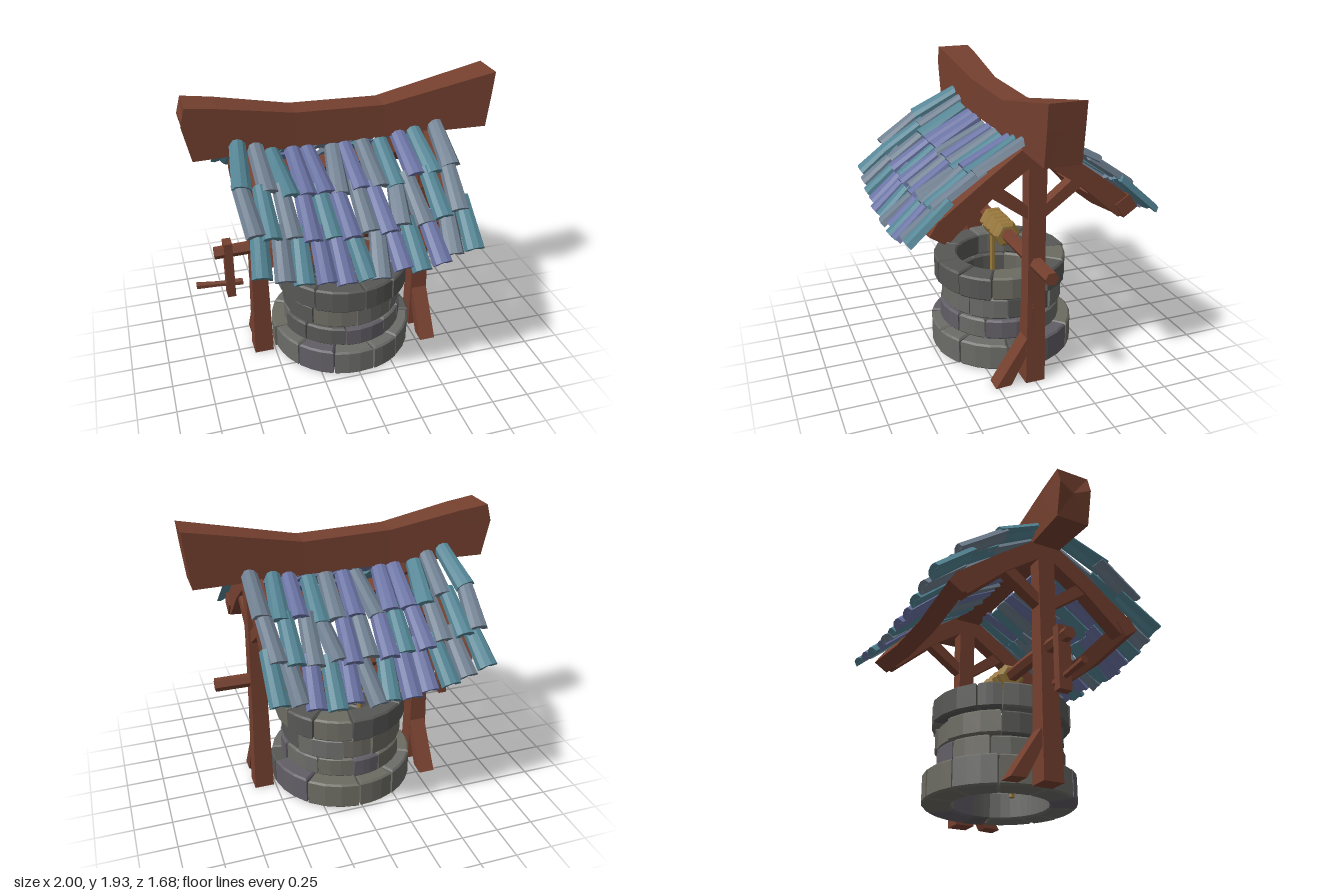
import * as THREE from 'three';

const mat = (color) => new THREE.MeshStandardMaterial({ color, flatShading: true });
const wood = mat(0x75402f), rope = mat(0x9a7a3c);
const stones = [0x6b6b68, 0x625e66, 0x6c6b62, 0x575756].map(mat);
const tileMats = { T: mat(0x538494), P: mat(0x6a73a3), S: mat(0x6f7f90) };

function seeded(seed) {
  return () => (seed = (seed * 16807) % 2147483647) / 2147483647;
}

function add(parent, name, geometry, material) {
  const mesh = new THREE.Mesh(geometry, material);
  mesh.name = name;
  parent.add(mesh);
  return mesh;
}

// Skin between equal loops, each counterclockwise seen from the far end, with capped ends
function loft(loops) {
  const pos = [];
  const tri = (a, b, c) => pos.push(...a, ...b, ...c);
  const n = loops[0].length, last = loops[loops.length - 1];
  for (let i = 0; i < loops.length - 1; i++) {
    for (let j = 0; j < n; j++) {
      const k = (j + 1) % n, A = loops[i], B = loops[i + 1];
      tri(A[j], A[k], B[k]);
      tri(A[j], B[k], B[j]);
    }
  }
  const cap = (loop, flip) => {
    const outline = loop.map((p) => new THREE.Vector3(...p));
    const c = outline.reduce((s, p) => s.add(p), new THREE.Vector3()).divideScalar(n).toArray();
    for (let j = 0; j < n; j++) {
      const k = (j + 1) % n;
      if (flip) tri(c, loop[k], loop[j]);
      else tri(c, loop[j], loop[k]);
    }
  };
  cap(loops[0], true);
  cap(last, false);
  const g = new THREE.BufferGeometry();
  g.setAttribute('position', new THREE.Float32BufferAttribute(pos, 3));
  g.computeVertexNormals();
  return g;
}

// Round or square bar along x; stations are [x, y, z, radius]
function bar(stations, sides, turn = 0) {
  return loft(stations.map(([x, y, z, r]) => Array.from({ length: sides }, (_, i) => {
    const a = turn + (i / sides) * Math.PI * 2;
    return [x, y + r * Math.cos(a), z + r * Math.sin(a)];
  })));
}

// Flat timber cut from a [z, y] outline, centred on x = cx
function slab(points, width, cx) {
  const shape = new THREE.Shape(points.map(([z, y]) => new THREE.Vector2(z, y)));
  const g = new THREE.ExtrudeGeometry(shape, { depth: width, bevelEnabled: false });
  return g.translate(0, 0, -width / 2).rotateY(-Math.PI / 2).translate(cx, 0, 0);
}

function buildWell() {
  const well = new THREE.Group();
  well.name = 'stoneWell';
  const rnd = seeded(41);
  // bottom, top, inner radius, outer radius, block count, turn
  const courses = [
    [0.005, 0.2, 0.31, 0.5, 11, 0.25],
    [0.2, 0.345, 0.3, 0.425, 10, 0.1],
    [0.345, 0.5, 0.3, 0.425, 9, 0.5],
    [0.505, 0.67, 0.3, 0.465, 10, 0.3],
  ];
  const b = 0.012;
  courses.forEach(([y0, y1, ri, ro, count, turn], c) => {
    const cuts = Array.from({ length: count }, (_, i) => turn + ((i + (rnd() - 0.5) * 0.5) / count) * Math.PI * 2);
    for (let i = 0; i < count; i++) {
      const a0 = cuts[i] + 0.035;
      const a1 = (i + 1 < count ? cuts[i + 1] : cuts[0] + Math.PI * 2) - 0.035;
      const out = ro - b - rnd() * 0.02, pts = [];
      for (let s = 0; s <= 3; s++) {
        const a = a0 + ((a1 - a0) * s) / 3;
        pts.push(new THREE.Vector2(Math.cos(a) * out, Math.sin(a) * out));
      }
      for (let s = 3; s >= 0; s--) {
        const a = a0 + ((a1 - a0) * s) / 3;
        pts.push(new THREE.Vector2(Math.cos(a) * (ri + b), Math.sin(a) * (ri + b)));
      }
      const g = new THREE.ExtrudeGeometry(new THREE.Shape(pts), {
        depth: y1 - y0 - 2 * b - rnd() * 0.01, bevelThickness: b, bevelSize: b, bevelSegments: 1,
      });
      g.rotateX(-Math.PI / 2).translate(0, y0 + b, 0);
      add(well, 'stoneBlock', g, stones[Math.floor(rnd() * 4 + c) % 4]);
    }
  });
  return well;
}

function buildFrame() {
  const frame = new THREE.Group();
  frame.name = 'timberFrame';

  // Sagging ridge beam: [x bottom, x middle, x top, bottom, middle, top, half width]
  const ridge = [
    [-0.95, -1, -0.97, 1.57, 1.8, 1.91, 0.112],
    [-0.78, -0.78, -0.78, 1.57, 1.78, 1.885, 0.105],
    [-0.31, -0.31, -0.31, 1.57, 1.7, 1.8, 0.085],
    [0.26, 0.26, 0.26, 1.57, 1.69, 1.785, 0.085],
    [0.96, 0.985, 1, 1.57, 1.78, 1.935, 0.114],
  ];
  add(frame, 'ridgeBeam', loft(ridge.map(([xb, xm, xt, b, m, t, w]) => [
    [xt, t, -w], [xt, t, w], [xm, m, w], [xb, b, w], [xb, b, -w], [xm, m, -w],
  ])), wood);

  for (const side of [-1, 1]) {
    const cx = 0.58 * side;
    // Tapered post: [y, half width, half depth]
    const post = [[0, 0.066, 0.066], [0.6, 0.055, 0.058], [1.1, 0.05, 0.056], [1.6, 0.05, 0.06]];
    add(frame, 'post', loft(post.map(([y, w, d]) => [
      [cx + w, y, d], [cx + w, y, -d], [cx - w, y, -d], [cx - w, y, d],
    ])), wood);
    // Foot brace leans forward on one post and backward on the other
    const foot = [[0.27, 0], [0.165, 0.005], [0, 0.32], [0.025, 0.57], [0.05, 0.34]];
    add(frame, 'footBrace', slab(foot.map(([z, y]) => [z * side, y]), 0.11, cx + 0.004), wood);

    for (const f of [-1, 1]) {
      const rafter = [[0, 1.62], [0.1, 1.58], [0.34, 1.41], [0.62, 1.2], [0.67, 1.12], [0.55, 1.07], [0.28, 1.31], [0, 1.5]];
      add(frame, 'rafter', slab(rafter.map(([z, y]) => [z * f, y]), 0.1, cx), wood);
      const strut = [[0, 1.2], [0.06, 1.22], [0.25, 1.37], [0.33, 1.33], [0.05, 1.13], [0, 1.13]];
      add(frame, 'rafterStrut', slab(strut.map(([z, y]) => [z * f, y]), 0.075, cx), wood);
    }
  }
  // Sagging beam under each eave
  for (const f of [-1, 1]) {
    const line = [[-0.64, 1.135], [-0.2, 1.075], [0.2, 1.08], [0.64, 1.14]];
    add(frame, 'eaveBeam', bar(line.map(([x, y]) => [x, y, 0.6 * f, 0.078]), 4, 0.2 * f), wood);
  }
  return frame;
}

function buildRoof() {
  const roof = new THREE.Group();
  roof.name = 'tiledRoof';
  // Curved tile running along z, flared and notched at its lower end
  const section = (z, w, notch) => [
    [-w, -0.012, z], [-w * 0.55, -0.012, z], [0, 0.002, z - notch], [w * 0.55, -0.012, z], [w, -0.012, z],
    [w * 0.8, 0.024, z], [w * 0.3, 0.037, z], [-w * 0.3, 0.037, z], [-w * 0.8, 0.024, z],
  ];
  const tile = loft([section(-0.5, 0.052, 0), section(0, 0.058, 0), section(0.5, 0.064, 0.07)]);
  // Upper z, y, lower z, y, first x and colours of each row
  const rows = [
    [0.08, 1.635, 0.4, 1.47, -0.68, 'TSTPPSPSTPTS'],
    [0.33, 1.495, 0.63, 1.295, -0.7, 'STSPTPSPSSTS'],
    [0.54, 1.33, 0.8, 1.1, -0.66, 'TSTPPTSPTPST'],
  ];
  for (const f of [-1, 1]) {
    const rnd = seeded(77);
    const slope = new THREE.Group();
    slope.name = f > 0 ? 'frontSlope' : 'backSlope';
    roof.add(slope);
    for (const [z0, y0, z1, y1, x0, colours] of rows) {
      [...colours].forEach((key, i) => {
        const x = x0 + i * 0.1165 + (rnd() - 0.5) * 0.016;
        const sag = 0.1 * (1 - (x / 0.66) ** 2);
        const lean = (rnd() - 0.5) * 0.05, slip = (rnd() - 0.5) * 0.035, lift = (rnd() - 0.5) * 0.02;
        const top = new THREE.Vector3(x - lean, y0 - sag - slip * 0.6, (z0 + slip) * f);
        const low = new THREE.Vector3(x + lean, y1 - sag - slip * 0.6 + lift, (z1 + slip) * f);
        const mesh = add(slope, 'roofTile', tile, tileMats[key]);
        mesh.position.copy(top).lerp(low, 0.5);
        mesh.lookAt(low);
        mesh.rotateZ(f * (x * 0.4 + (rnd() - 0.5) * 0.25));
        mesh.scale.z = top.distanceTo(low);
      });
    }
  }
  return roof;
}

function buildWindlass() {
  const windlass = new THREE.Group();
  windlass.name = 'windlass';
  const axle = [[-0.865, 0.84, 0, 0.042], [-0.4, 0.85, 0, 0.046], [0.2, 0.835, 0, 0.046], [0.86, 0.84, 0, 0.045]];
  add(windlass, 'axle', bar(axle, 6, Math.PI / 6), wood);
  // Rope turns, each a bevelled six-sided ring
  for (let i = 0; i < 5; i++) {
    const x = -0.138 + i * 0.064;
    const turn = [[-0.033, 0.068], [-0.016, 0.093], [0.016, 0.093], [0.033, 0.068]];
    add(windlass, 'ropeCoil', bar(turn.map(([d, r]) => [x + d, 0.836, 0, r]), 6, Math.PI / 6 + (i % 2) * 0.06), rope);
  }
  const hanging = new THREE.CylinderGeometry(0.019, 0.019, 0.8, 6).translate(-0.15, 0.43, 0);
  add(windlass, 'hangingRope', hanging, rope);
  // Crank arm and grip
  add(windlass, 'crankArm', new THREE.BoxGeometry(0.056, 0.415, 0.085).translate(-0.775, 0.708, 0), wood);
  const grip = [[-1, 0.607, 0, 0.026], [-0.85, 0.594, 0, 0.02], [-0.69, 0.583, 0, 0.026]];
  add(windlass, 'crankGrip', bar(grip, 6), wood);
  return windlass;
}

export function createModel() {
  const model = new THREE.Group();
  model.name = 'roofedWell';
  model.add(buildWell(), buildFrame(), buildRoof(), buildWindlass());
  return model;
}
